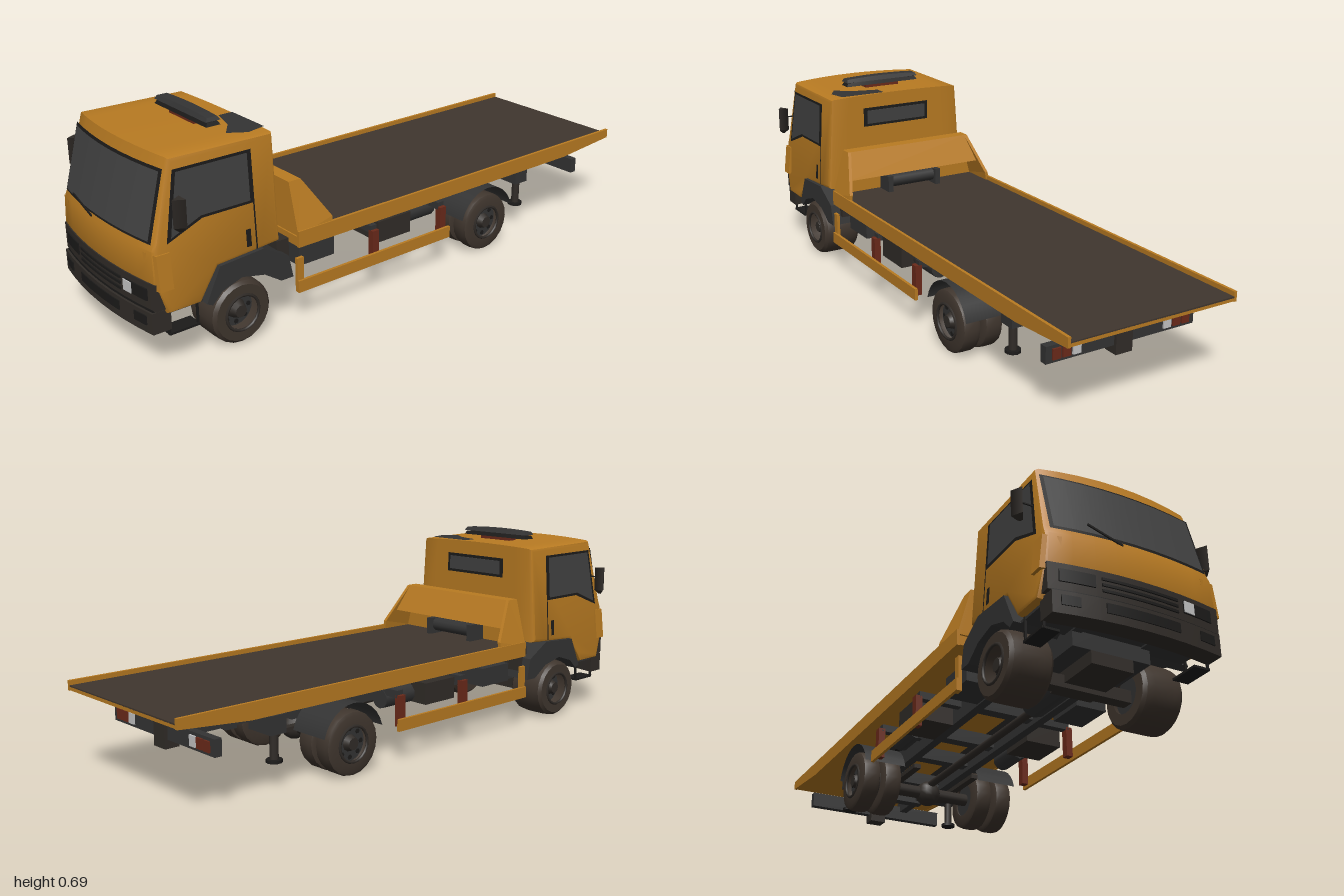
import * as THREE from 'three';
import { toCreasedNormals } from 'three/addons/utils/BufferGeometryUtils.js';

const mat = (name, color) => {
  const m = new THREE.MeshStandardMaterial({ color, side: THREE.DoubleSide });
  m.name = name;
  return m;
};

export function createModel() {
  const root = new THREE.Group();
  root.name = 'flatbedRecoveryTruck';
  const orange = mat('orangePaint', 0xb97b22), deckBrown = mat('deckBrown', 0x40362e);
  const trim = mat('darkTrim', 0x312c28), chassis = mat('chassisGrey', 0x343434);
  const glass = mat('tintedGlass', 0x414141), black = mat('black', 0x1c1b1a);
  const red = mat('lampRed', 0x6b2a1a), white = mat('lampWhite', 0xc4c4c4);

  const add = (name, geo, m, x = 0, y = 0, z = 0) => {
    const mesh = new THREE.Mesh(geo, m);
    mesh.name = name;
    mesh.position.set(x, y, z);
    root.add(mesh);
    return mesh;
  };
  // box given by its limits on each axis
  const box = (name, m, x0, x1, y0, y1, z0, z1) =>
    add(name, new THREE.BoxGeometry(Math.abs(x1 - x0), y1 - y0, z1 - z0), m, (x0 + x1) / 2, (y0 + y1) / 2, (z0 + z1) / 2);
  const pair = (fn) => [1, -1].forEach(fn);
  const move = (geo, fn) => {
    const p = geo.attributes.position, v = new THREE.Vector3();
    for (let i = 0; i < p.count; i++) {
      fn(v.fromBufferAttribute(p, i));
      p.setXYZ(i, v.x, v.y, v.z);
    }
    geo.computeVertexNormals();
    return geo;
  };
  const shape = (pts) => new THREE.Shape(pts.map(([z, y]) => new THREE.Vector2(z, y)));
  // side profile of (z, y) points swept across x, centred on x = 0
  const sweepX = (pts, width, steps = 1, bevel = 0) => {
    const g = new THREE.ExtrudeGeometry(shape(pts), {
      depth: width - 2 * bevel, steps, bevelEnabled: bevel > 0, bevelSize: bevel,
      bevelThickness: bevel, bevelOffset: -bevel, bevelSegments: 2,
    });
    return g.rotateY(-Math.PI / 2).translate(width / 2 - bevel, 0, 0);
  };

  // cab shell: bowed front, sides leaning inwards, domed roof
  const sideX = (y) => 0.288 - 0.068 * (y - 0.28);
  const bow = (x) => 0.03 * (1 - (x / 0.29) ** 2);
  const cab = sweepX([[0.535, 0.3], [0.535, 0.64], [0.885, 0.644], [0.945, 0.41], [0.955, 0.385], [0.958, 0.285],
    [0.925, 0.19], [0.82, 0.19], [0.8, 0.22], [0.755, 0.285], [0.6, 0.295]], 0.576, 8, 0.012);
  move(cab, (v) => {
    if (v.z > 0.86) v.z += bow(v.x);
    if (v.y > 0.6) v.y += 0.006 * (1 - (v.x / 0.29) ** 2);
    v.x *= sideX(v.y) / 0.288;
  });
  add('cabShell', toCreasedNormals(cab, 0.5), orange);

  // windscreen with black surround, following the bowed front
  const screen = (name, m, hw, y0, y1, off) => {
    const g = new THREE.PlaneGeometry(hw * 2, y1 - y0, 8, 1).translate(0, (y0 + y1) / 2, 0);
    move(g, (v) => {
      v.z = 0.945 - (v.y - 0.41) * 0.2564 + bow(v.x) + off;
      v.x *= 1 - 0.07 * (v.y - 0.41);
    });
    add(name, g, m);
  };
  screen('windscreenSurround', black, 0.262, 0.403, 0.615, 0.003);
  screen('windscreen', glass, 0.252, 0.411, 0.607, 0.006);
  add('wiper', new THREE.BoxGeometry(0.12, 0.006, 0.004), black, -0.1, 0.412, 0.981).rotation.z = -0.3;

  // plates lying on the cab sides
  const sidePlate = (name, m, pts, off) => pair((s) =>
    add(name, move(new THREE.ShapeGeometry(shape(pts)), (v) => v.set(s * (sideX(v.y) + off), v.y, v.x)), m));
  sidePlate('sideWindowSurround', black, [[0.877, 0.61], [0.622, 0.61], [0.622, 0.447], [0.795, 0.447], [0.915, 0.4]], 0.002);
  sidePlate('sideWindow', glass, [[0.868, 0.602], [0.632, 0.602], [0.632, 0.456], [0.8, 0.456], [0.901, 0.414]], 0.004);
  sidePlate('doorGap', black, [[0.617, 0.3], [0.622, 0.3], [0.622, 0.61], [0.617, 0.61]], 0.002);
  sidePlate('doorHandle', black, [[0.638, 0.315], [0.655, 0.315], [0.655, 0.37], [0.638, 0.37]], 0.003);
  box('rearWindowSurround', black, -0.135, 0.135, 0.525, 0.595, 0.531, 0.536);
  box('rearWindow', glass, -0.122, 0.122, 0.535, 0.585, 0.528, 0.534);

  // bare patch on the roof
  const patch = new THREE.ShapeGeometry(shape([[0.05, 0.535], [0.22, 0.535], [0.235, 0.6], [0.2, 0.655], [0.14, 0.61], [0.05, 0.585]]));
  add('roofPatch', move(patch, (v) => v.set(v.x, 0.648, v.y)), chassis);

  // flared front corners
  pair((s) => {
    const g = new THREE.BoxGeometry(0.055, 0.108, 0.055).translate(0, 0.322, 0.938);
    move(g, (v) => { v.x = s * (v.x + 0.259 + (0.375 - v.y) * 0.12); if (Math.abs(v.x) > 0.27 && v.z > 0.95) v.z -= 0.012; });
    add('cornerDeflector', toCreasedNormals(g, 0.3), orange);
  });

  // grille, lamps and bumper, all bowed like the cab front
  const frontBar = (name, m, x0, x1, y0, y1, z0, z1) => {
    const g = new THREE.BoxGeometry(x1 - x0, y1 - y0, z1 - z0, 8, 1, 1);
    g.translate((x0 + x1) / 2, (y0 + y1) / 2, (z0 + z1) / 2);
    add(name, toCreasedNormals(move(g, (v) => { v.z += bow(v.x); }), 0.5), m);
  };
  frontBar('grillePanel', trim, -0.282, 0.282, 0.203, 0.287, 0.9, 0.962);
  frontBar('bumper', trim, -0.275, 0.275, 0.13, 0.198, 0.91, 0.97);
  frontBar('bumperLip', black, -0.27, 0.27, 0.196, 0.205, 0.91, 0.963);
  for (let i = 0; i < 3; i++) frontBar('grilleSlat', black, -0.125, 0.125, 0.222 + i * 0.018, 0.23 + i * 0.018, 0.955, 0.966);
  frontBar('bumperIntake', black, -0.12, 0.12, 0.155, 0.185, 0.962, 0.973);
  pair((s) => {
    const a = Math.min(s * 0.25, s * 0.145);
    frontBar('headlamp', black, a, a + 0.105, 0.23, 0.268, 0.955, 0.966);
    const b = Math.min(s * 0.25, s * 0.195);
    frontBar('fogLamp', black, b, b + 0.055, 0.155, 0.185, 0.962, 0.973);
  });
  frontBar('headlampLens', white, 0.145, 0.182, 0.231, 0.266, 0.958, 0.969);

  // roof light bar
  const bar = (name, m, w, y0, y1, d) =>
    add(name, toCreasedNormals(move(new THREE.BoxGeometry(w, y1 - y0, d, 6, 1, 1), (v) => { if (v.y > 0) { v.z *= 0.7; v.x *= 0.96; v.y += 0.005 * (1 - (v.x / 0.15) ** 2); } }), 0.4), m, 0, (y0 + y1) / 2, 0.665);
  bar('lightBarBase', black, 0.3, 0.658, 0.669, 0.05);
  bar('lightBarTop', chassis, 0.3, 0.673, 0.684, 0.05);
  box('lightBarCore', chassis, -0.09, 0.09, 0.667, 0.676, 0.65, 0.68);
  box('lightBarMount', red, -0.07, 0.07, 0.645, 0.66, 0.645, 0.685);

  // mirrors, steps and front mudguards
  const guardProfile = [[0.805, 0.18], [0.755, 0.287], [0.6, 0.297], [0.51, 0.245], [0.495, 0.17], [0.54, 0.17],
    [0.6, 0.21], [0.68, 0.228], [0.75, 0.205], [0.785, 0.17]];
  pair((s) => {
    add('mirror', new THREE.CylinderGeometry(0.022, 0.022, 0.085, 3).toNonIndexed(), trim, s * 0.32, 0.503, 0.89);
    add('mirrorFoot', new THREE.CylinderGeometry(0.022, 0.006, 0.014, 3), trim, s * 0.32, 0.454, 0.89);
    box('mirrorArm', black, s * 0.265, s * 0.31, 0.508, 0.512, 0.886, 0.89);
    add('frontMudguard', sweepX(guardProfile, 0.15), chassis, s * 0.22, 0, 0);
    box('stepTread', black, s * 0.22, s * 0.275, 0.11, 0.117, 0.82, 0.92);
    [0.82, 0.915].forEach((z) => box('stepHanger', black, s * 0.265, s * 0.272, 0.11, 0.19, z, z + 0.006));
  });
  box('cabFloor', chassis, -0.27, 0.27, 0.18, 0.188, 0.8, 0.93);
  box('engine', chassis, -0.13, 0.13, 0.13, 0.295, 0.56, 0.84);
  box('engineSump', trim, -0.07, 0.07, 0.09, 0.13, 0.62, 0.84);

  // wheels
  const tyreProfile = (w) => [[0.058, -w], [0.092, -w], [0.102, -w * 0.85], [0.105, -w * 0.5],
    [0.105, w * 0.5], [0.102, w * 0.85], [0.092, w], [0.058, w]].map(([r, y]) => new THREE.Vector2(r, y));
  const wheel = (name, s, x, z, w, dish) => {
    const g = new THREE.Group();
    g.name = name;
    const part = (n, geo, m, y) => {
      const k = new THREE.Mesh(geo, m);
      k.name = n;
      k.position.y = y;
      g.add(k);
    };
    part('tyre', toCreasedNormals(new THREE.LatheGeometry(tyreProfile(w), 20), 0.6), deckBrown, 0);
    part('rim', new THREE.CylinderGeometry(0.06, 0.06, w * 1.2, 20), chassis, -w * 0.2);
    part('rimLip', new THREE.TorusGeometry(0.058, 0.005, 5, 20).rotateX(Math.PI / 2), trim, w);
    part('hub', new THREE.CylinderGeometry(0.02, 0.032, 0.03, 10), trim, w * 0.4 + dish);
    for (let i = 0; i < 8; i++) {
      const a = i * Math.PI / 4;
      part('wheelHole', new THREE.CylinderGeometry(0.008, 0.008, 0.004, 6).translate(0.046 * Math.cos(a), 0, 0.046 * Math.sin(a)), black, w * 0.4 + 0.001);
    }
    g.rotation.z = -s * Math.PI / 2;
    g.position.set(s * x, 0.107, z);
    root.add(g);
  };
  pair((s) => {
    wheel('frontWheel', s, 0.22, 0.68, 0.07, 0.018);
    wheel('rearOuterWheel', s, 0.26, -0.355, 0.033, 0.005);
    wheel('rearInnerWheel', s, 0.18, -0.355, 0.033, 0);
    // curved rear mudguard
    const arc = new THREE.CylinderGeometry(0.125, 0.125, 0.15, 12, 1, true, 0.25, Math.PI - 0.5).rotateZ(Math.PI / 2);
    add('rearMudguard', arc, chassis, s * 0.22, 0.115, -0.355);
  });

  // axles and driveline
  const rod = (name, m, r, len, axis, x, y, z) => {
    const k = add(name, new THREE.CylinderGeometry(r, r, len, 10), m, x, y, z);
    if (axis === 'x') k.rotation.z = Math.PI / 2;
    if (axis === 'z') k.rotation.x = Math.PI / 2;
  };
  box('frontAxle', trim, -0.16, 0.16, 0.075, 0.115, 0.66, 0.7);
  rod('rearAxle', trim, 0.022, 0.34, 'x', 0, 0.107, -0.355);
  add('differential', new THREE.SphereGeometry(0.045, 12, 8), trim, 0, 0.107, -0.355);
  rod('driveShaft', trim, 0.013, 0.95, 'z', 0, 0.135, 0.12);
  rod('gearbox', chassis, 0.05, 0.18, 'z', 0, 0.16, 0.5);

  // chassis ladder, subframe and tanks
  pair((s) => {
    box('chassisRail', chassis, s * 0.1, s * 0.13, 0.175, 0.24, -0.47, 0.9);
    box('chassisTail', chassis, s * 0.1, s * 0.13, 0.2, 0.24, -0.86, -0.47);
    box('subframeRail', black, s * 0.1, s * 0.15, 0.24, 0.266, -0.76, 0.485);
    box('leafSpring', trim, s * 0.1, s * 0.125, 0.135, 0.15, -0.5, -0.2);
    box('toolBox', trim, s * 0.14, s * 0.27, 0.165, 0.238, -0.01, 0.13);
    box('batteryBox', chassis, s * 0.14, s * 0.25, 0.17, 0.235, 0.3, 0.44);
    rod('airTank', chassis, 0.034, 0.13, 'z', s * 0.2, 0.2, -0.09);
    // side guard
    box('sideGuard', orange, s * 0.293, s * 0.303, 0.11, 0.15, -0.165, 0.48);
    box('guardFrontPost', orange, s * 0.285, s * 0.296, 0.11, 0.225, 0.455, 0.48);
    [0.16, -0.14].forEach((z) => {
      box('guardPost', red, s * 0.27, s * 0.293, 0.12, 0.225, z - 0.013, z + 0.013);
      box('guardBracket', chassis, s * 0.13, s * 0.28, 0.215, 0.24, z - 0.013, z + 0.013);
    });
    // rear support leg
    box('legBracket', chassis, s * 0.12, s * 0.23, 0.175, 0.235, -0.63, -0.57);
    rod('legTube', trim, 0.014, 0.12, 'y', s * 0.205, 0.15, -0.6);
    rod('legFoot', black, 0.026, 0.01, 'y', s * 0.205, 0.088, -0.6);
    // tail lamps
    [[0.235, red], [0.2, red], [0.165, white]].forEach(([x, m]) =>
      box('tailLamp', m, s * (x - 0.014), s * (x + 0.014), 0.178, 0.212, -0.866, -0.858));
    box('cabMount', trim, s * 0.16, s * 0.26, 0.2, 0.285, 0.485, 0.53);
  });
  [0.42, 0.22, -0.05, -0.25, -0.5, -0.7].forEach((z) => box('crossMember', chassis, -0.13, 0.13, 0.19, 0.235, z - 0.02, z + 0.02));
  box('rearBumper', chassis, -0.27, 0.27, 0.168, 0.222, -0.86, -0.835);
  box('towHitch', trim, -0.03, 0.03, 0.14, 0.24, -0.87, -0.82);
  box('cabLatch', trim, -0.06, 0.06, 0.2, 0.3, 0.485, 0.53);

  // bed: painted floor, dark deck and side rails
  add('bedFloor', sweepX([[0.475, 0.264], [0.475, 0.296], [-1, 0.296], [-1, 0.285], [-0.75, 0.264]], 0.585), orange);
  box('deckSurface', deckBrown, -0.291, 0.291, 0.295, 0.3, -1, 0.465);
  pair((s) => add('sideRail', sweepX([[0.475, 0.262], [0.475, 0.315], [-1, 0.315], [-1, 0.283], [-0.75, 0.262]], 0.01), orange, s * 0.295));

  // headboard with leaning gussets and a winch beneath
  const lean = (y) => 0.295 - Math.max(0, y - 0.315) * 0.3;
  const board = sweepX([[0.475, 0.3], [0.475, 0.465], [0.43, 0.465], [0.385, 0.37], [0.395, 0.37], [0.436, 0.455], [0.465, 0.455], [0.465, 0.3]], 0.59);
  add('headboard', move(board, (v) => { v.x *= lean(v.y) / 0.295; }), orange);
  pair((s) => {
    const g = sweepX([[0.475, 0.3], [0.475, 0.465], [0.43, 0.465], [0.34, 0.33], [0.34, 0.3]], 0.012);
    add('headboardGusset', move(g, (v) => { v.x += s * (lean(v.y) - 0.003); }), orange);
    box('winchBracket', chassis, s * 0.09, s * 0.11, 0.3, 0.36, 0.39, 0.46);
  });
  rod('winchDrum', chassis, 0.025, 0.2, 'x', 0, 0.335, 0.425);

  return root;
}
